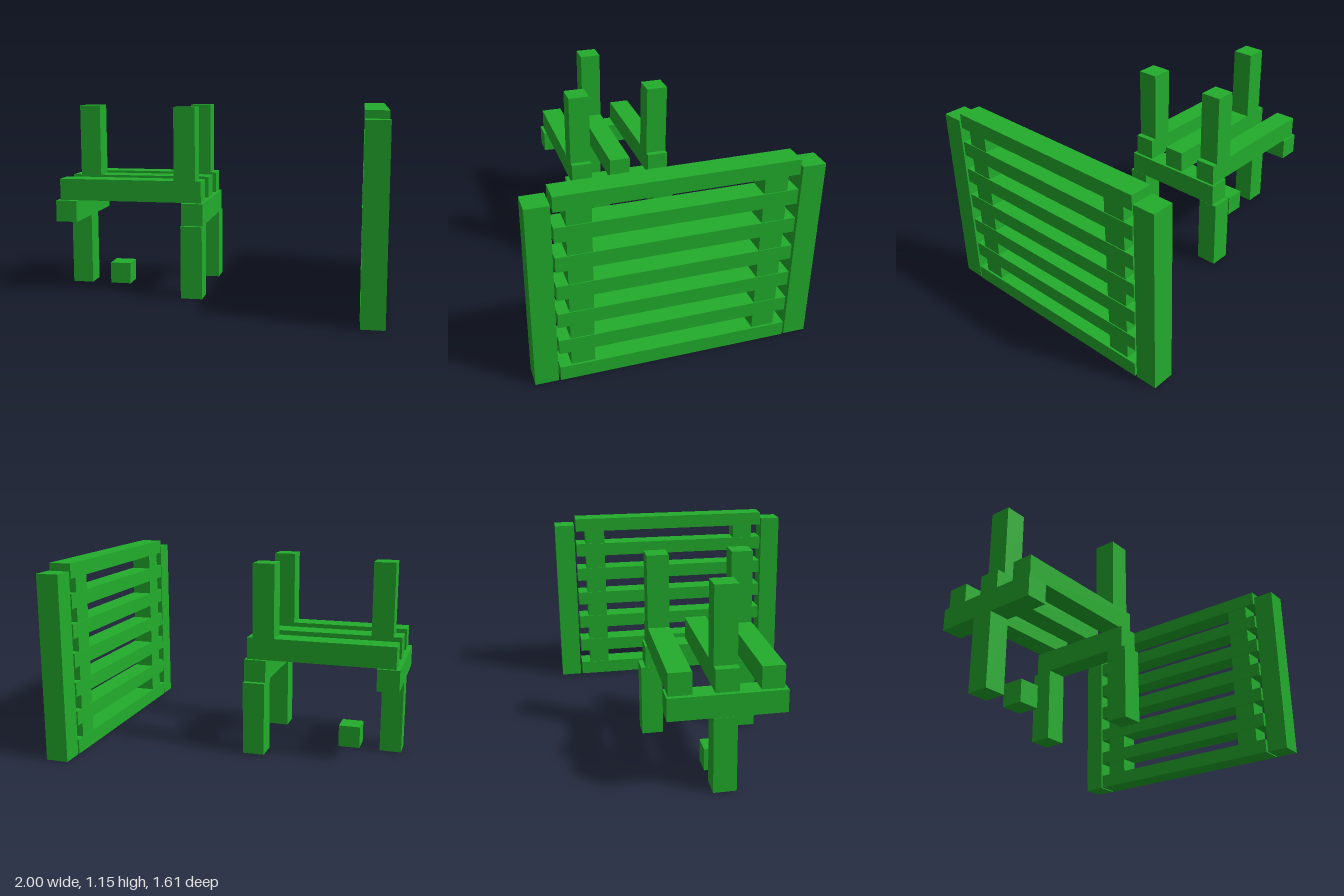
import * as THREE from 'three';

export function createModel() {
  const model = new THREE.Group();
  const green = new THREE.MeshStandardMaterial({ color: 0x22ad2c });
  green.name = 'green';

  // Axis-aligned beam given by its limits on each axis
  const beam = (parent, name, [x0, x1], [y0, y1], [z0, z1]) => {
    const mesh = new THREE.Mesh(new THREE.BoxGeometry(x1 - x0, y1 - y0, z1 - z0), green);
    mesh.name = name;
    mesh.position.set((x0 + x1) / 2, (y0 + y1) / 2, (z0 + z1) / 2);
    parent.add(mesh);
  };

  // Table: three legs, two cross beams, three planks, three uprights
  const table = new THREE.Group();
  table.name = 'table';
  model.add(table);

  const outer = [-1, -0.87], inner = [-0.212, -0.081];
  beam(table, 'outerLeg', outer, [0, 0.445], [-0.08, 0.052]);
  for (const z of [[-0.36, -0.229], [0.229, 0.358]]) beam(table, 'innerLeg', inner, [0, 0.442], z);
  beam(table, 'outerCrossBeam', outer, [0.446, 0.577], [-0.33, 0.33]);
  beam(table, 'innerCrossBeam', inner, [0.443, 0.577], [-0.332, 0.335]);

  const rows = [[-0.32, -0.19], [-0.067, 0.064], [0.184, 0.313]];
  rows.forEach((z, i) => {
    beam(table, 'plank', [-0.977, -0.095], [0.579, 0.71], z);
    beam(table, 'upright', i === 1 ? [-0.925, -0.795] : [-0.26, -0.13], [0.71, 1.152], z);
  });

  // Loose cube under the table
  beam(model, 'cube', [-0.746, -0.615], [0, 0.134], [-0.078, 0.054]);

  // Fence: end posts, stiles and seven slats
  const fence = new THREE.Group();
  fence.name = 'fence';
  model.add(fence);
  for (const z of [[-0.807, -0.675], [0.676, 0.807]]) beam(fence, 'endPost', [0.862, 0.997], [0, 1.11], z);
  for (const z of [[-0.6, -0.467], [0.467, 0.6]]) beam(fence, 'stile', [0.864, 0.988], [0.02, 1.1], z);
  for (let i = 0; i < 7; i++) {
    const y = i * 0.1777;
    beam(fence, 'slat', [0.86, i === 0 ? 1 : 0.993], [y, y + 0.088], [-0.663, 0.665]);
  }
  return model;
}
